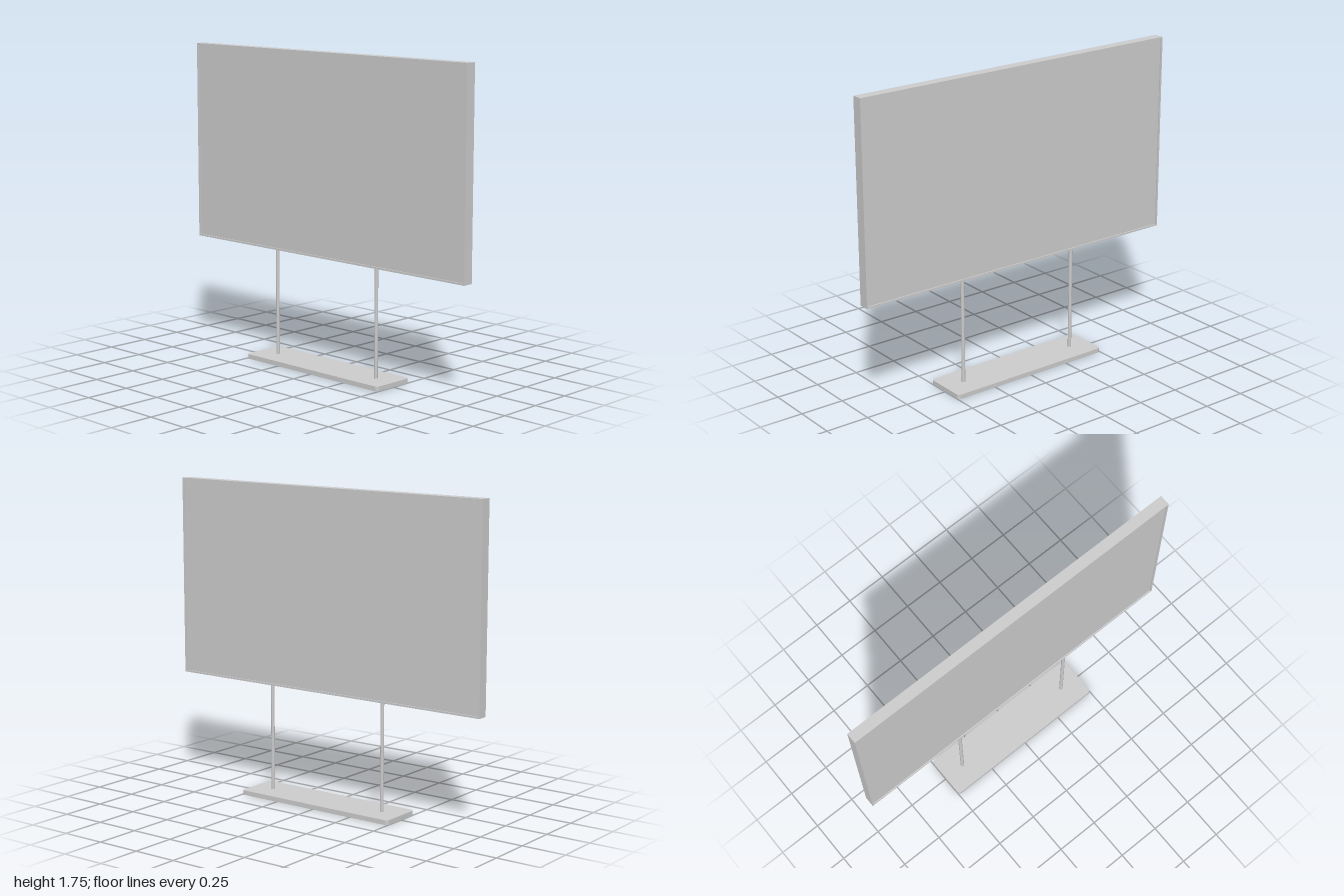
import * as THREE from 'three';

const material = new THREE.MeshStandardMaterial({ color: 0xcccccc });

function add(group, geometry, name, x = 0, y = 0, z = 0) {
  const mesh = new THREE.Mesh(geometry, material);
  mesh.name = name;
  mesh.position.set(x, y, z);
  group.add(mesh);
  return mesh;
}

// Centred rectangle with rounded corners (square when r is 0)
function rect(Type, w, h, r) {
  const p = new Type(), x = w / 2, y = h / 2;
  p.moveTo(-x + r, -y).lineTo(x - r, -y);
  if (r) p.absarc(x - r, -y + r, r, -Math.PI / 2, 0);
  p.lineTo(x, y - r);
  if (r) p.absarc(x - r, y - r, r, 0, Math.PI / 2);
  p.lineTo(-x + r, y);
  if (r) p.absarc(-x + r, y - r, r, Math.PI / 2, Math.PI);
  p.lineTo(-x, -y + r);
  if (r) p.absarc(-x + r, -y + r, r, Math.PI, Math.PI * 1.5);
  return p;
}

// Extruded plate, centred along its depth, with an optional opening
function plate(w, h, r, depth, border = 0) {
  const shape = rect(THREE.Shape, w, h, r);
  if (border) {
    shape.holes.push(rect(THREE.Path, w - 2 * border, h - 2 * border, Math.max(r - border, 0)));
  }
  const geometry = new THREE.ExtrudeGeometry(shape, { depth, bevelEnabled: false, curveSegments: 6 });
  return geometry.translate(0, 0, -depth / 2);
}

export function createModel() {
  const model = new THREE.Group();
  model.name = 'displayStand';

  // Display: thin frame around a slightly recessed panel on both faces
  const bottom = 0.63, top = 1.75, midY = (bottom + top) / 2, height = top - bottom;
  const border = 0.01;
  add(model, plate(2, height, 0, 0.06, border).rotateY(Math.PI / 2), 'frame', 0, midY, 0);
  add(model, new THREE.BoxGeometry(0.046, height - 2 * border, 2 - 2 * border), 'panel', 0, midY, 0);

  // Base: folded tray, open underneath
  const baseH = 0.026, sheet = 0.003;
  add(model, plate(0.25, 1, 0.018, baseH - sheet, sheet).rotateX(Math.PI / 2),
    'baseRim', 0, (baseH - sheet) / 2, 0);
  add(model, plate(0.25, 1, 0.018, sheet).rotateX(Math.PI / 2), 'baseTop', 0, baseH - sheet / 2, 0);

  // Poles, whose ends show under the base
  const poleBottom = 0.01, poleTop = bottom + 0.008;
  for (const side of [-1, 1]) {
    add(model, new THREE.CylinderGeometry(0.01, 0.01, poleTop - poleBottom, 24),
      side > 0 ? 'frontPole' : 'backPole', 0, (poleTop + poleBottom) / 2, side * 0.375);
  }
  return model;
}
